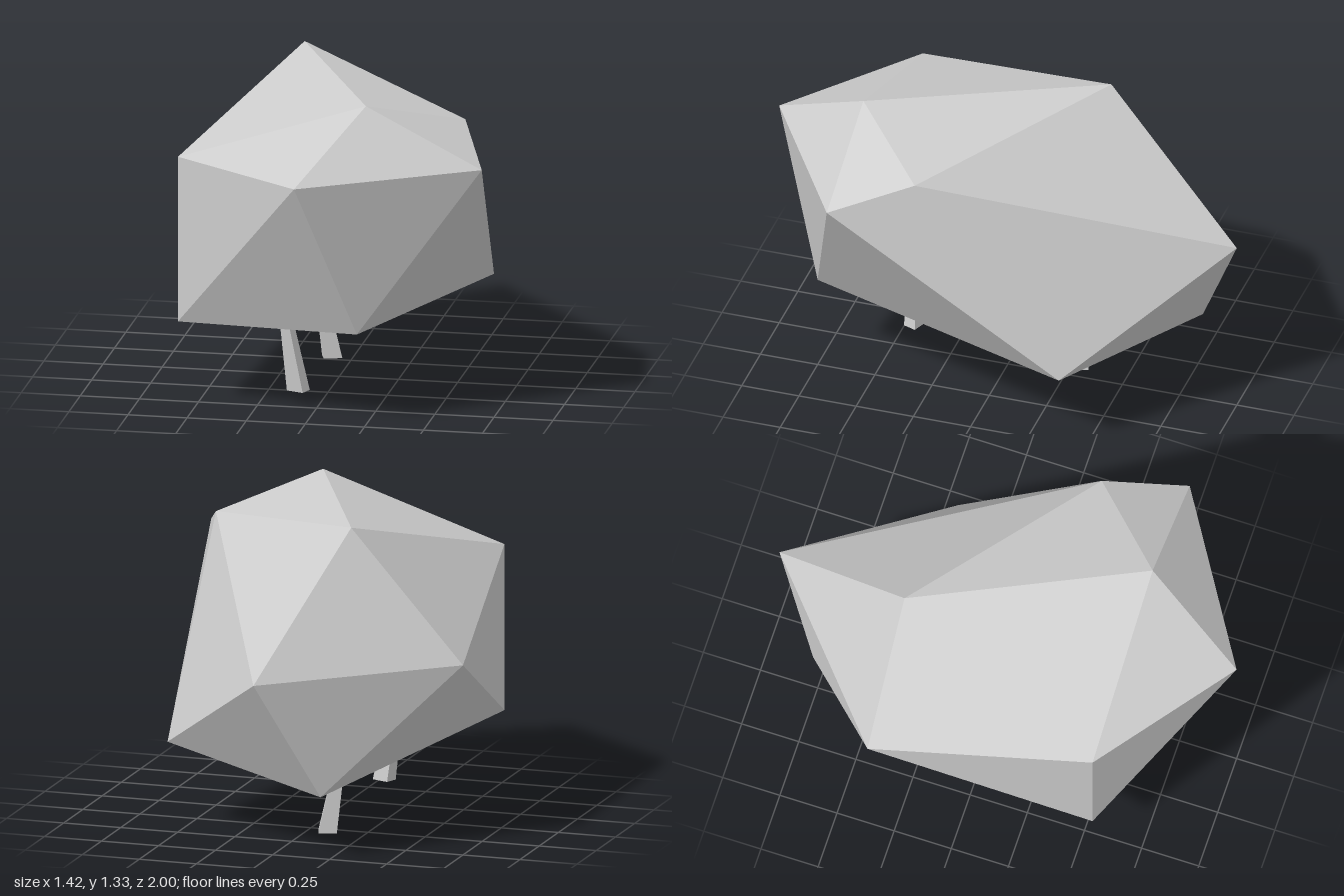
import * as THREE from 'three';

const material = new THREE.MeshStandardMaterial({ color: 0xcccccc, flatShading: true });

// Faceted body: a distorted icosahedron made of a crown, two rings of five and a base point
function makeBody() {
  const crown = [0.22, 1.33, 0.56];
  const upper = [
    [-0.22, 1.33, -0.38], [-0.575, 1.07, 0.56], [0, 1.08, 1],
    [0.71, 1.08, 0.56], [0.575, 1.2, 0.22],
  ];
  const lower = [
    [-0.71, 0.78, -0.38], [-0.575, 0.36, 0.56], [0.22, 0.4, 0.76],
    [0.575, 0.36, -0.41], [0, 0.78, -1],
  ];
  const base = [-0.22, 0.27, -0.78];
  const points = [];
  for (let i = 0; i < 5; i++) {
    const j = (i + 1) % 5;
    points.push(
      crown, upper[i], upper[j],
      upper[i], lower[i], upper[j],
      upper[j], lower[i], lower[j],
      base, lower[j], lower[i],
    );
  }
  const geometry = new THREE.BufferGeometry();
  geometry.setAttribute('position', new THREE.Float32BufferAttribute(points.flat(), 3));
  geometry.computeVertexNormals();
  const body = new THREE.Mesh(geometry, material);
  body.name = 'body';
  return body;
}

// Leg: a box that narrows upward, turned by yaw and leaning from foot to top
function makeLeg(name, foot, top, yaw) {
  const geometry = new THREE.BoxGeometry(1, 1, 1);
  const position = geometry.attributes.position;
  const point = new THREE.Vector3();
  const up = new THREE.Vector3(0, 1, 0);
  for (let i = 0; i < position.count; i++) {
    point.fromBufferAttribute(position, i);
    const high = point.y > 0;
    point.set(point.x * (high ? 0.04 : 0.077), 0, point.z * (high ? 0.037 : 0.057));
    point.applyAxisAngle(up, yaw).add(high ? top : foot);
    position.setXYZ(i, point.x, point.y, point.z);
  }
  geometry.computeVertexNormals();
  const leg = new THREE.Mesh(geometry, material);
  leg.name = name;
  return leg;
}

export function createModel() {
  const model = new THREE.Group();
  model.name = 'facetedBodyOnLegs';
  const v = (x, y, z) => new THREE.Vector3(x, y, z);
  model.add(
    makeBody(),
    makeLeg('frontLeg', v(-0.09, 0.055, 0.435), v(-0.14, 0.38, 0.455), -0.36),
    makeLeg('backLeg', v(-0.087, 0, -0.293), v(-0.14, 0.32, -0.28), 0.33),
  );
  return model;
}
